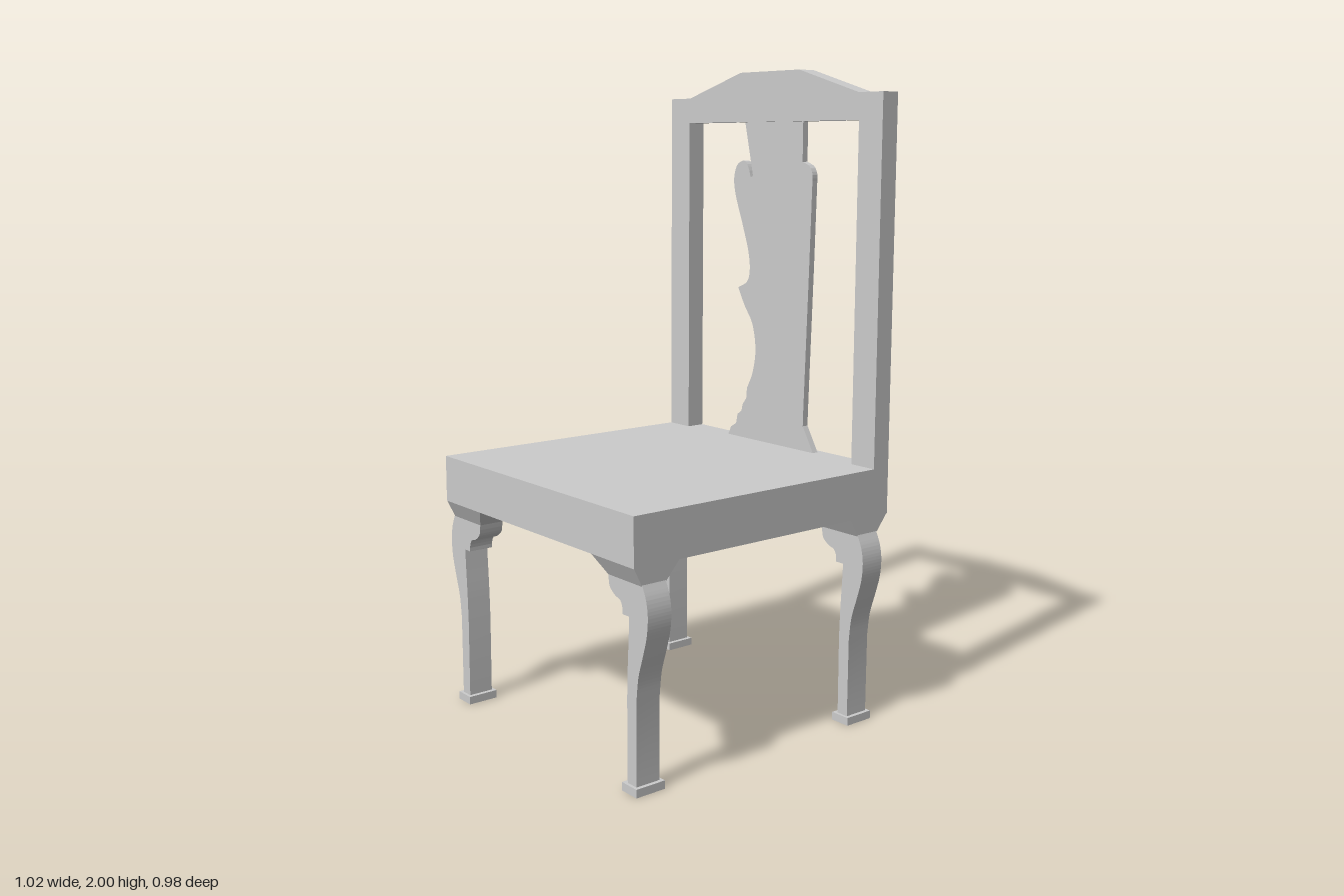
import * as THREE from 'three';
import { toCreasedNormals } from 'three/addons/utils/BufferGeometryUtils.js';

const material = new THREE.MeshStandardMaterial({ color: 0xcccccc });

function addMesh(parent, name, geometry) {
  const mesh = new THREE.Mesh(geometry, material);
  mesh.name = name;
  parent.add(mesh);
  return mesh;
}

// Extrudes an outline in x/y between two depths, smoothing only gentle bends.
function extrude(shape, zBack, zFront) {
  const geometry = new THREE.ExtrudeGeometry(shape, {
    depth: zFront - zBack, bevelEnabled: false, curveSegments: 24,
  });
  geometry.translate(0, 0, zBack);
  return toCreasedNormals(geometry, 0.45);
}

const toVectors = (points) => points.map(([x, y]) => new THREE.Vector2(x, y));

// Uprights and arched crest rail in one outline, open at the seat
function backFrame() {
  const half = [[0.135, 2], [0.39, 1.925], [0.488, 1.925], [0.488, 0.8], [0.393, 0.8], [0.393, 1.844]];
  const mirrored = half.map(([x, y]) => [-x, y]).reverse();
  return extrude(new THREE.Shape(toVectors([...half, ...mirrored])), -0.488, -0.426);
}

// Splat: scrolled on one edge, plain on the other
function splat() {
  const s = new THREE.Shape();
  s.moveTo(0.135, 1.846);
  s.lineTo(-0.135, 1.846);
  s.lineTo(-0.095, 1.675);
  s.splineThru(toVectors([[-0.105, 1.668], [-0.115, 1.695], [-0.13, 1.718], [-0.15, 1.72],
    [-0.175, 1.703], [-0.187, 1.66], [-0.177, 1.605], [-0.145, 1.52], [-0.114, 1.43],
    [-0.106, 1.367], [-0.12, 1.328], [-0.162, 1.307]]));
  s.splineThru(toVectors([[-0.13, 1.25], [-0.09, 1.19], [-0.074, 1.107], [-0.087, 1.03], [-0.114, 0.975]]));
  for (const [x, y] of [[-0.117, 0.94], [-0.135, 0.917], [-0.14, 0.895], [-0.16, 0.88],
    [-0.167, 0.848], [-0.193, 0.832], [-0.207, 0.803], [0.204, 0.803], [0.155, 0.885],
    [0.156, 0.93], [0.172, 1.39], [0.18, 1.66]]) s.lineTo(x, y);
  s.splineThru(toVectors([[0.179, 1.685], [0.165, 1.707], [0.135, 1.72]]));
  s.closePath();
  return extrude(s, -0.468, -0.447);
}

// Cabriole leg with a scrolled bracket on its inner side
function legShape(side) {
  const p = ([x, y]) => [x * side, y];
  const s = new THREE.Shape();
  s.moveTo(...p([0.335, 0.61]));
  s.lineTo(...p([0.488, 0.61]));
  s.splineThru(toVectors([[0.505, 0.57], [0.512, 0.525], [0.507, 0.47], [0.49, 0.41],
    [0.47, 0.345], [0.461, 0.275]].map(p)));
  s.lineTo(...p([0.46, 0.02]));
  s.lineTo(...p([0.42, 0.02]));
  s.lineTo(...p([0.419, 0.27]));
  s.splineThru(toVectors([[0.422, 0.36], [0.427, 0.45], [0.43, 0.508]].map(p)));
  s.lineTo(...p([0.4, 0.508]));
  s.splineThru(toVectors([[0.398, 0.53], [0.388, 0.546], [0.37, 0.551]].map(p)));
  s.splineThru(toVectors([[0.353, 0.562], [0.34, 0.577], [0.335, 0.61]].map(p)));
  return s;
}

// Corner block: a box whose lower face is drawn in
function cornerBlock(side, zTop, zBottom) {
  const geometry = new THREE.BoxGeometry(1, 1, 1);
  const pos = geometry.attributes.position;
  for (let i = 0; i < pos.count; i++) {
    const top = pos.getY(i) > 0;
    const z = top ? zTop : zBottom;
    const outer = pos.getX(i) * side > 0;
    pos.setXYZ(i, side * (outer ? 0.488 : top ? 0.29 : 0.335), top ? 0.662 : 0.606,
      pos.getZ(i) > 0 ? z[1] : z[0]);
  }
  geometry.computeVertexNormals();
  return geometry;
}

export function createModel() {
  const chair = new THREE.Group();
  chair.name = 'chair';

  addMesh(chair, 'seat', new THREE.BoxGeometry(0.976, 0.145, 0.976)).position.y = 0.7325;
  addMesh(chair, 'backFrame', backFrame());
  addMesh(chair, 'backSplat', splat());

  // Four legs, each with a corner block above and a foot pad below
  const rows = [
    { name: 'front', leg: [0.379, 0.46], top: [0.33, 0.488] },
    { name: 'rear', leg: [-0.443, -0.362], top: [-0.488, -0.33] },
  ];
  for (const { name, leg, top } of rows) {
    for (const side of [1, -1]) {
      const group = new THREE.Group();
      group.name = name + (side > 0 ? 'Left' : 'Right') + 'Leg';
      chair.add(group);
      addMesh(group, 'cabrioleLeg', extrude(legShape(side), leg[0], leg[1]));
      addMesh(group, 'cornerBlock', cornerBlock(side, top, leg));
      const foot = addMesh(group, 'foot', new THREE.BoxGeometry(0.066, 0.025, 0.1));
      foot.position.set(side * 0.439, 0.0125, (leg[0] + leg[1]) / 2);
    }
  }
  return chair;
}
